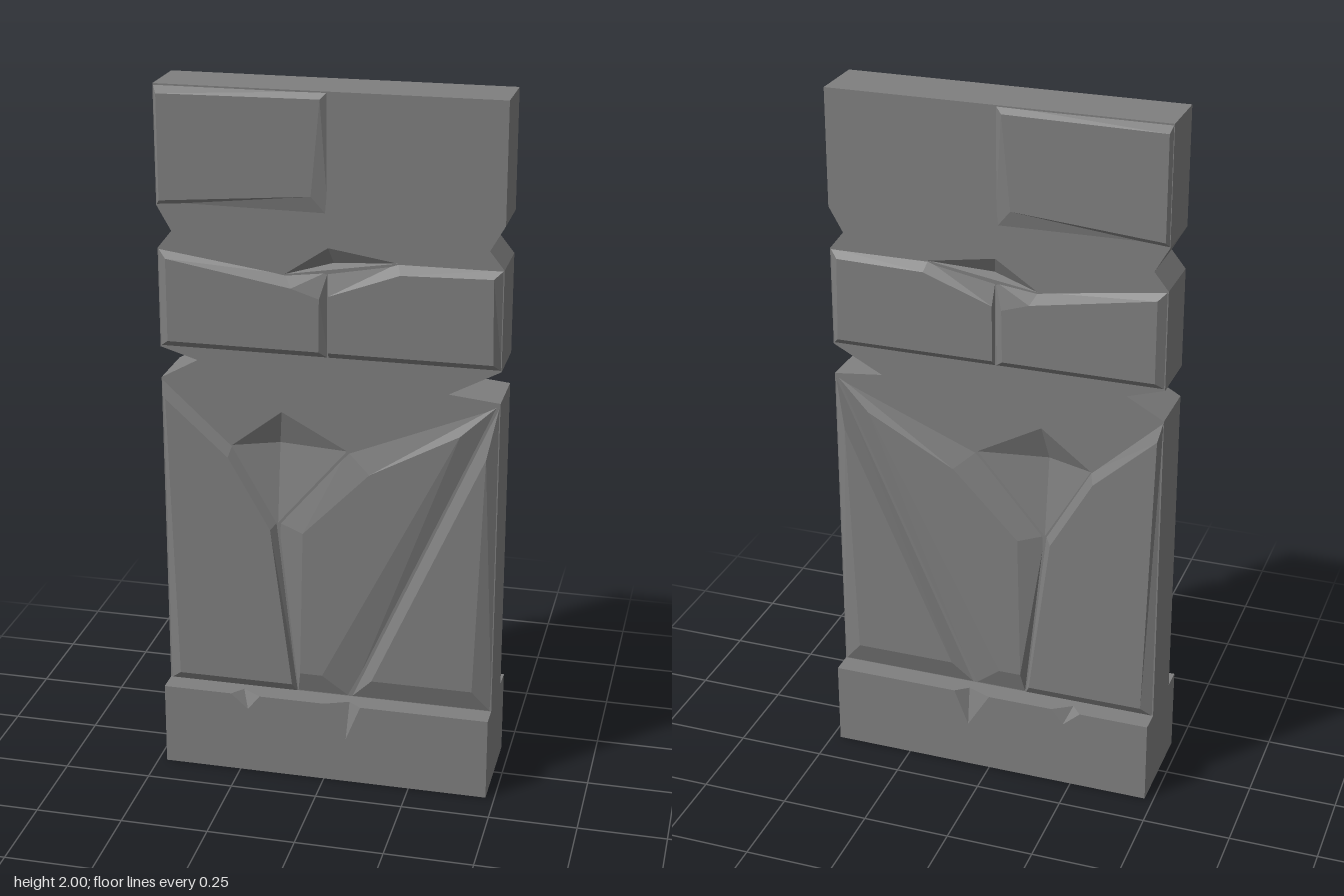
import * as THREE from 'three';

// Collects outward-facing triangles together with their mirror images in z
class MirroredSurface {
  constructor() { this.data = []; }
  tri(a, b, c, out) {
    const [A, B, C] = [a, b, c].map(p => new THREE.Vector3(...p));
    const n = B.clone().sub(A).cross(C.clone().sub(A));
    if (n.dot(new THREE.Vector3(...out)) < 0) [b, c] = [c, b];
    const flip = p => [p[0], p[1], -p[2]];
    this.data.push(...a, ...b, ...c, ...flip(a), ...flip(c), ...flip(b));
  }
  quad(a, b, c, d, out) {
    this.tri(a, b, c, out);
    this.tri(a, c, d, out);
  }
  // Flat polygon with optional holes; drop is the axis left out for triangulation
  poly(points, drop, out, holes = []) {
    const flat = list => list.map(p => new THREE.Vector2(...p.filter((_, i) => i !== drop)));
    const all = [points, ...holes].flat();
    for (const [i, j, k] of THREE.ShapeUtils.triangulateShape(flat(points), holes.map(flat))) {
      this.tri(all[i], all[j], all[k], out);
    }
  }
  mesh(name, material) {
    const g = new THREE.BufferGeometry();
    g.setAttribute('position', new THREE.Float32BufferAttribute(this.data, 3));
    g.computeVertexNormals();
    const m = new THREE.Mesh(g, material);
    m.name = name;
    return m;
  }
}

const FRONT = [0, 0, 1];
const at = (points, z) => points.map(([x, y]) => [x, y, z]);

// Raised stone facet: outer outline on the slab, smaller inner outline on top
function panel(name, outer, inner, z, material) {
  const s = new MirroredSurface();
  const o = at(outer, 0.083), t = at(inner, z);
  s.poly(t, 2, FRONT);
  o.forEach((p, i) => {
    const j = (i + 1) % o.length;
    s.quad(p, o[j], t[j], t[i], FRONT);
  });
  return s.mesh(name, material);
}

// Slab with notched sides and chipped hollows in both faces
function slab(material) {
  const s = new MirroredSurface();
  const z = 0.085;
  const outline = [
    [-0.475, 0.24], [0.475, 0.24], [0.475, 1.178], [0.333, 1.193], [0.475, 1.268],
    [0.475, 1.55], [0.435, 1.6], [0.475, 1.67], [0.475, 2], [-0.475, 2],
    [-0.475, 1.67], [-0.435, 1.6], [-0.475, 1.55], [-0.475, 1.268], [-0.37, 1.236], [-0.475, 1.178],
  ];
  const hollows = [
    { rim: [[-0.275, 0.993], [-0.132, 1.103], [0.053, 1.003], [-0.145, 0.77]], deep: [-0.145, 1.0, 0.05] },
    { rim: [[-0.12, 1.5], [0, 1.58], [0.19, 1.55]], deep: [0.01, 1.533, 0.06] },
  ];
  s.poly(at(outline, z), 2, FRONT, hollows.map(h => at(h.rim, z)));
  for (const { rim, deep } of hollows) {
    const r = at(rim, z);
    r.forEach((p, i) => s.tri(p, r[(i + 1) % r.length], deep, FRONT));
  }
  outline.forEach(([x, y], i) => {
    const [u, v] = outline[(i + 1) % outline.length];
    s.quad([x, y, 0], [u, v, 0], [u, v, z], [x, y, z], [v - y, x - u, 0]);
  });
  return s.mesh('slab', material);
}

// Plinth with chipped upper edges
function plinth(material) {
  const s = new MirroredSurface();
  const w = 0.475, h = 0.245, d = 0.148;
  const chips = [
    { a: -0.275, b: -0.19, low: [-0.225, 0.2, d], deep: [-0.245, h, 0.112] },
    { a: 0, b: 0.107, low: [0.065, 0.138, d], deep: [0.07, h, 0.12] },
  ];
  const edge = key => chips.flatMap(c => [[c.a, h, d], c[key], [c.b, h, d]]);
  s.poly([[-w, 0, d], [-w, h, d], ...edge('low'), [w, h, d], [w, 0, d]], 2, FRONT);
  s.poly([[-w, h, 0], [-w, h, d], ...edge('deep'), [w, h, d], [w, h, 0]], 1, [0, 1, 0]);
  for (const c of chips) {
    s.tri([c.a, h, d], c.low, c.deep, [0, 1, 1]);
    s.tri(c.low, [c.b, h, d], c.deep, [0, 1, 1]);
  }
  for (const x of [-w, w]) s.quad([x, 0, 0], [x, h, 0], [x, h, d], [x, 0, d], [x, 0, 0]);
  s.quad([-w, 0, 0], [w, 0, 0], [w, 0, d], [-w, 0, d], [0, -1, 0]);
  return s.mesh('plinth', material);
}

export function createModel() {
  const stone = new THREE.MeshStandardMaterial({ color: 0x7f7f7f });
  stone.name = 'stone grey';
  const model = new THREE.Group();
  model.name = 'stoneSlab';
  model.add(plinth(stone), slab(stone));

  model.add(
    panel('topPanel',
      [[-0.475, 1.67], [0, 1.665], [0, 2], [-0.475, 2]],
      [[-0.465, 1.685], [-0.045, 1.72], [-0.02, 1.98], [-0.465, 1.975]], 0.094, stone),
    // Middle band, split by a narrow groove
    panel('middlePanelRight',
      [[-0.475, 1.27], [0, 1.27], [0, 1.515], [-0.12, 1.5], [-0.475, 1.55]],
      [[-0.45, 1.29], [-0.024, 1.29], [-0.022, 1.44], [-0.1, 1.465], [-0.45, 1.525]], 0.1, stone),
    panel('middlePanelLeft',
      [[0, 1.27], [0.475, 1.27], [0.475, 1.55], [0.19, 1.55], [0, 1.515]],
      [[0.004, 1.29], [0.455, 1.29], [0.45, 1.528], [0.2, 1.522], [0.004, 1.45]], 0.102, stone),
    // Large lower facets, split by two cracks
    panel('lowerPanelRight',
      [[-0.475, 0.24], [-0.09, 0.24], [-0.148, 0.77], [-0.275, 0.993], [-0.475, 1.178]],
      [[-0.44, 0.27], [-0.105, 0.27], [-0.165, 0.75], [-0.285, 0.96], [-0.462, 1.12]], 0.1, stone),
    panel('lowerPanelCentre',
      [[-0.09, 0.24], [0.065, 0.24], [0.475, 1.175], [0.053, 1.003], [-0.145, 0.77]],
      [[-0.08, 0.31], [-0.015, 0.31], [0.37, 1.08], [0.12, 0.945], [-0.07, 0.75]], 0.103, stone),
    panel('lowerPanelLeft',
      [[0.065, 0.24], [0.475, 0.24], [0.475, 1.178]],
      [[0.13, 0.31], [0.42, 0.31], [0.443, 1.02]], 0.105, stone),
  );
  return model;
}
